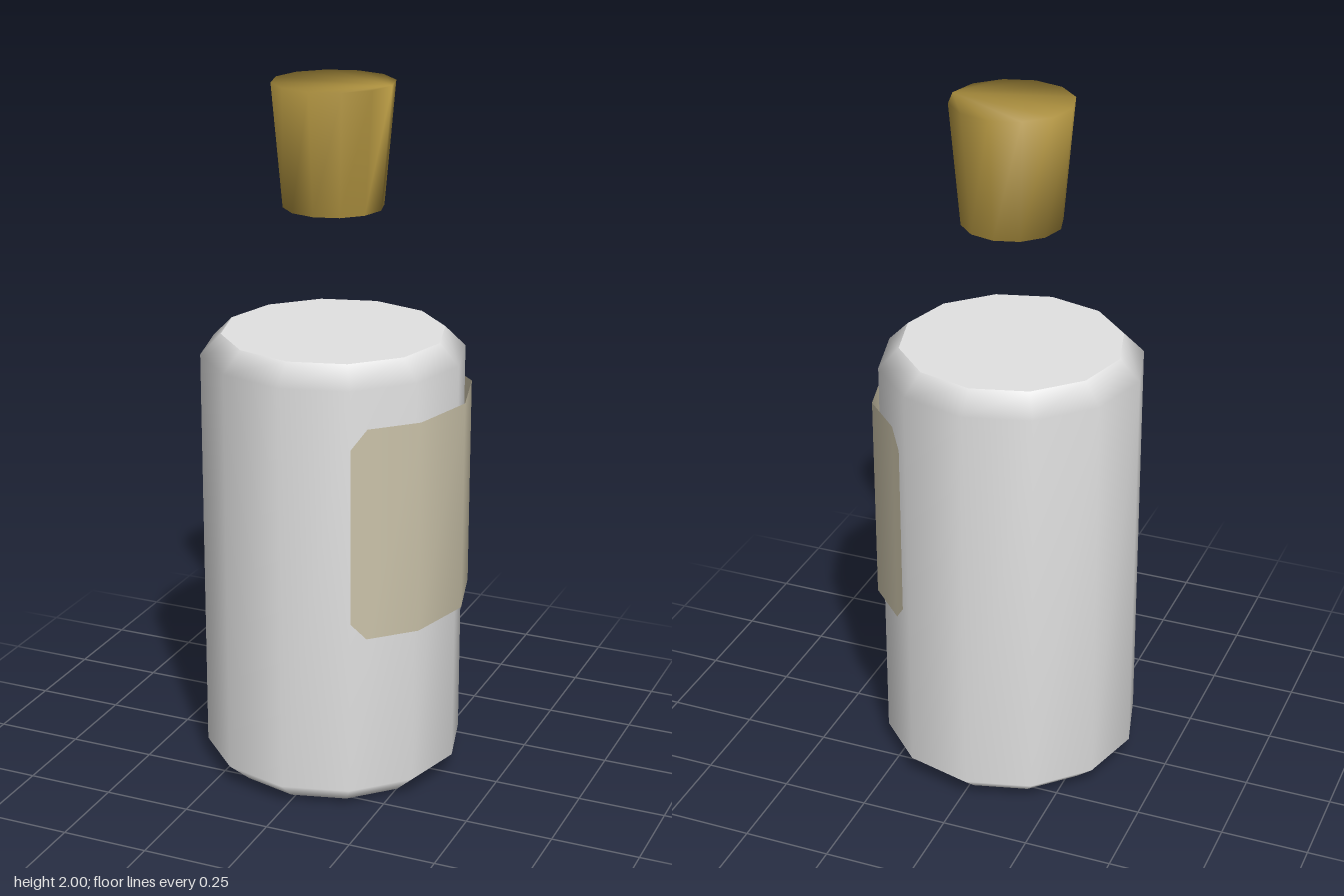
import * as THREE from 'three';

const SIDES = 12;
const AXIS_X = -0.012;

function buildGeometry(positions, indices) {
  const geometry = new THREE.BufferGeometry();
  geometry.setAttribute('position', new THREE.Float32BufferAttribute(positions, 3));
  geometry.setIndex(indices);
  geometry.computeVertexNormals();
  return geometry;
}

// Turned solid from [radius, y] rings, bottom to top; caps share the rim's smooth normals
function turned(profile, closeTop) {
  const positions = [], indices = [];
  for (const [r, y] of profile) {
    for (let j = 0; j < SIDES; j++) {
      const a = (j / SIDES) * Math.PI * 2;
      positions.push(r * Math.cos(a), y, -r * Math.sin(a));
    }
  }
  for (let i = 0; i < profile.length - 1; i++) {
    for (let j = 0; j < SIDES; j++) {
      const a = i * SIDES + j, b = i * SIDES + (j + 1) % SIDES;
      indices.push(a, b, b + SIDES, a, b + SIDES, a + SIDES);
    }
  }
  const top = (profile.length - 1) * SIDES;
  for (let j = 1; j < SIDES - 1; j++) {
    indices.push(0, j + 1, j);
    if (closeTop) indices.push(top, top + j, top + j + 1);
  }
  return buildGeometry(positions, indices);
}

// Curved sheet wrapped around the +x side, with clipped corners
function wrappedLabel(radius, low, high, clip) {
  const at = (deg) => {
    const a = THREE.MathUtils.degToRad(deg);
    return new THREE.Vector2(radius * Math.cos(a), -radius * Math.sin(a));
  };
  const columns = [
    [at(-60), clip],
    [at(-60).lerp(at(-30), 0.235), 0],
    [at(-30), 0], [at(0), 0], [at(30), 0],
    [at(60).lerp(at(30), 0.235), 0],
    [at(60), clip],
  ];
  const positions = [], indices = [];
  columns.forEach(([p, inset], i) => {
    positions.push(p.x, low + inset, p.y, p.x, high - inset, p.y);
    if (i < columns.length - 1) {
      const k = i * 2;
      indices.push(k, k + 2, k + 3, k, k + 3, k + 1);
    }
  });
  return buildGeometry(positions, indices);
}

export function createModel() {
  const glass = new THREE.MeshStandardMaterial({ color: 0xe2e2e2 });
  glass.name = 'pale grey';
  const paper = new THREE.MeshStandardMaterial({ color: 0xcbc3aa, side: THREE.DoubleSide });
  paper.name = 'beige paper';
  const corkBrown = new THREE.MeshStandardMaterial({ color: 0xb09340 });
  corkBrown.name = 'cork brown';

  const group = new THREE.Group();
  const add = (name, geometry, material) => {
    const mesh = new THREE.Mesh(geometry, material);
    mesh.name = name;
    mesh.position.x = AXIS_X;
    group.add(mesh);
    return mesh;
  };

  // Bottle body with bevelled rims and a separate flat lid face
  add('body', turned([[0.305, 0], [0.373, 0.06], [0.373, 1.245], [0.315, 1.303]], false), glass);
  const lid = new THREE.CircleGeometry(0.315, SIDES).rotateX(-Math.PI / 2);
  add('bodyTop', lid, glass).position.y = 1.303;

  // Label on the side
  add('label', wrappedLabel(0.393, 0.53, 1.14, 0.052), paper);

  // Tapered stopper floating above the body
  add('stopper', turned([[0.14, 1.657], [0.17, 2]], true), corkBrown);

  return group;
}
